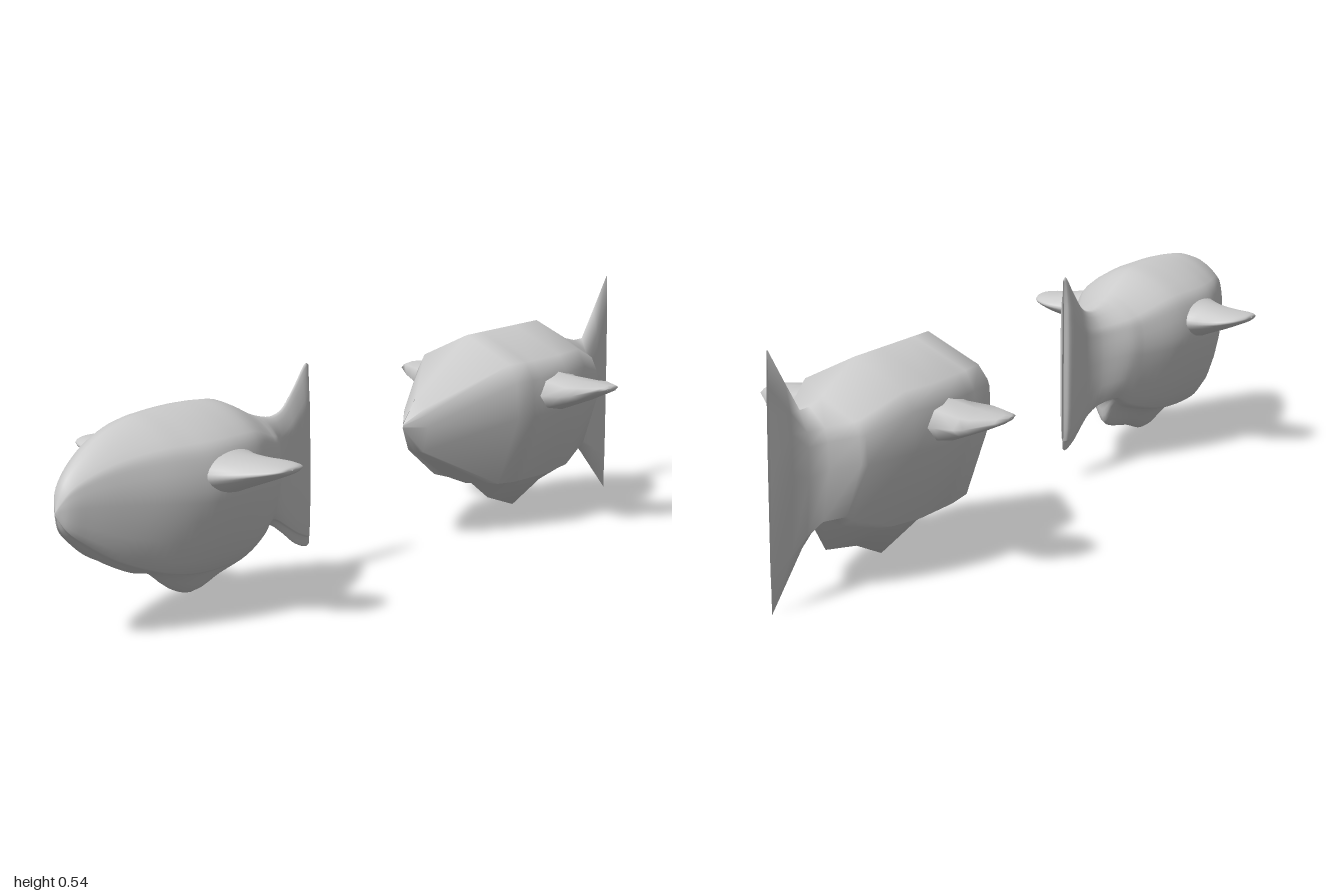
import * as THREE from 'three';
import { mergeVertices } from 'three/addons/utils/BufferGeometryUtils.js';

const V = (x, y, z) => new THREE.Vector3(x, y, z);

// Body cross-section: top ridge, shoulder, two flank points, lower corner, keel root, keel edge.
function bodyRing([z, top, low, keel, w]) {
  const h = top - low;
  const half = [
    [0.82 * w, top - 0.17 * h], [0.96 * w, top - 0.29 * h], [w, top - 0.53 * h],
    [0.62 * w, low], [0.35 * w, low - 0.2 * (low - keel)],
  ];
  return [
    V(0, top, z), ...half.map(([x, y]) => V(x, y, z)),
    V(0, keel, z), ...half.reverse().map(([x, y]) => V(-x, y, z)),
  ];
}

// Fin cross-section: flattened loop running top, front, bottom, back.
function finRing([x, back, front, bottom, top]) {
  const zc = (back + front) / 2, yc = (bottom + top) / 2;
  const rz = (front - back) / 2, ry = (top - bottom) / 2;
  return Array.from({ length: 8 }, (_, i) => {
    const a = (i / 8) * Math.PI * 2;
    return V(x, yc + ry * Math.cos(a), zc + rz * Math.sin(a));
  });
}

// Runs splines around the rings and then along them.
function densify(rings, steps) {
  const n = rings[0].length * steps, rows = (rings.length - 1) * steps;
  const around = rings.map((ring) => {
    const c = new THREE.CatmullRomCurve3(ring, true);
    return Array.from({ length: n }, (_, i) => c.getPoint(i / n));
  });
  const out = Array.from({ length: rows + 1 }, () => []);
  for (let j = 0; j < n; j++) {
    const c = new THREE.CatmullRomCurve3(around.map((r) => r[j]));
    for (let i = 0; i <= rows; i++) out[i].push(c.getPoint(i / rows));
  }
  return out;
}

function loft(rings) {
  const n = rings[0].length, index = [];
  for (let i = 0; i < rings.length - 1; i++) {
    for (let j = 0; j < n; j++) {
      const k = (j + 1) % n;
      const a = i * n + j, b = i * n + k, c = a + n, d = b + n;
      index.push(a, b, c, b, d, c);
    }
  }
  const g = new THREE.BufferGeometry().setFromPoints(rings.flat());
  g.setIndex(index);
  const merged = mergeVertices(g, 1e-4);
  merged.computeVertexNormals();
  return merged;
}

function makeFish(name, bodyRows, finRows, steps) {
  const material = new THREE.MeshStandardMaterial({ color: 0xcccccc, side: THREE.DoubleSide });
  const build = (rings) => loft(steps > 1 ? densify(rings, steps) : rings);
  const fish = new THREE.Group();
  fish.name = name;

  const body = new THREE.Mesh(build(bodyRows.map(bodyRing)), material);
  body.name = 'bodyAndTail';
  fish.add(body);

  const finGeometry = build(finRows.map(finRing));
  for (const side of [1, -1]) {
    const fin = new THREE.Mesh(finGeometry, material);
    fin.name = side > 0 ? 'leftFin' : 'rightFin';
    fin.scale.x = side;
    fish.add(fin);
  }
  return fish;
}

export function createModel() {
  const model = new THREE.Group();
  model.name = 'fishPair';

  // Faceted fish. Body rows: z, top, lower corner, keel, half width.
  model.add(makeFish('facetedFish', [
    [-0.15, 0.295, 0.285, 0.285, 0],
    [-0.2, 0.35, 0.225, 0.217, 0.035],
    [-0.4, 0.47, 0.125, 0.115, 0.15],
    [-0.46, 0.47, 0.12, 0.108, 0.155],
    [-0.49, 0.47, 0.12, 0.065, 0.157],
    [-0.595, 0.47, 0.12, 0.03, 0.16],
    [-0.69, 0.47, 0.125, 0.07, 0.147],
    [-0.805, 0.415, 0.16, 0.09, 0.105],
    [-0.815, 0.41, 0.17, 0.155, 0.095],
    [-0.855, 0.4, 0.165, 0.15, 0.045],
    [-0.89, 0.4, 0.14, 0.115, 0.02],
    [-0.94, 0.465, 0.115, 0.065, 0.015],
    [-1, 0.545, 0.09, 0.005, 0.003],
  ], [
    // Fin rows: x, back, front, bottom, top.
    [0.12, -0.66, -0.48, 0.275, 0.385],
    [0.16, -0.645, -0.485, 0.287, 0.372],
    [0.215, -0.66, -0.47, 0.308, 0.361],
    [0.24, -0.66, -0.485, 0.318, 0.359],
    [0.285, -0.615, -0.525, 0.338, 0.356],
    [0.293, -0.57, -0.545, 0.344, 0.352],
    [0.293, -0.558, -0.557, 0.348, 0.349],
  ], 1));

  // Smooth fish.
  model.add(makeFish('smoothFish', [
    [1, 0.291, 0.289, 0.289, 0],
    [0.98, 0.345, 0.25, 0.245, 0.022],
    [0.94, 0.385, 0.218, 0.21, 0.045],
    [0.87, 0.425, 0.175, 0.165, 0.08],
    [0.78, 0.45, 0.14, 0.125, 0.122],
    [0.72, 0.455, 0.125, 0.11, 0.143],
    [0.665, 0.457, 0.12, 0.07, 0.155],
    [0.595, 0.457, 0.12, 0.048, 0.155],
    [0.515, 0.45, 0.125, 0.07, 0.14],
    [0.42, 0.41, 0.15, 0.09, 0.097],
    [0.395, 0.4, 0.165, 0.105, 0.085],
    [0.38, 0.395, 0.17, 0.16, 0.075],
    [0.33, 0.385, 0.16, 0.145, 0.035],
    [0.29, 0.395, 0.14, 0.12, 0.02],
    [0.245, 0.44, 0.115, 0.088, 0.016],
    [0.205, 0.485, 0.1, 0.075, 0.012],
    [0.195, 0.48, 0.1, 0.08, 0.002],
  ], [
    [0.11, 0.52, 0.73, 0.265, 0.395],
    [0.15, 0.54, 0.705, 0.287, 0.373],
    [0.19, 0.535, 0.685, 0.303, 0.363],
    [0.23, 0.53, 0.67, 0.318, 0.359],
    [0.265, 0.545, 0.655, 0.332, 0.356],
    [0.282, 0.575, 0.635, 0.34, 0.353],
    [0.286, 0.604, 0.606, 0.346, 0.348],
  ], 4));

  return model;
}
